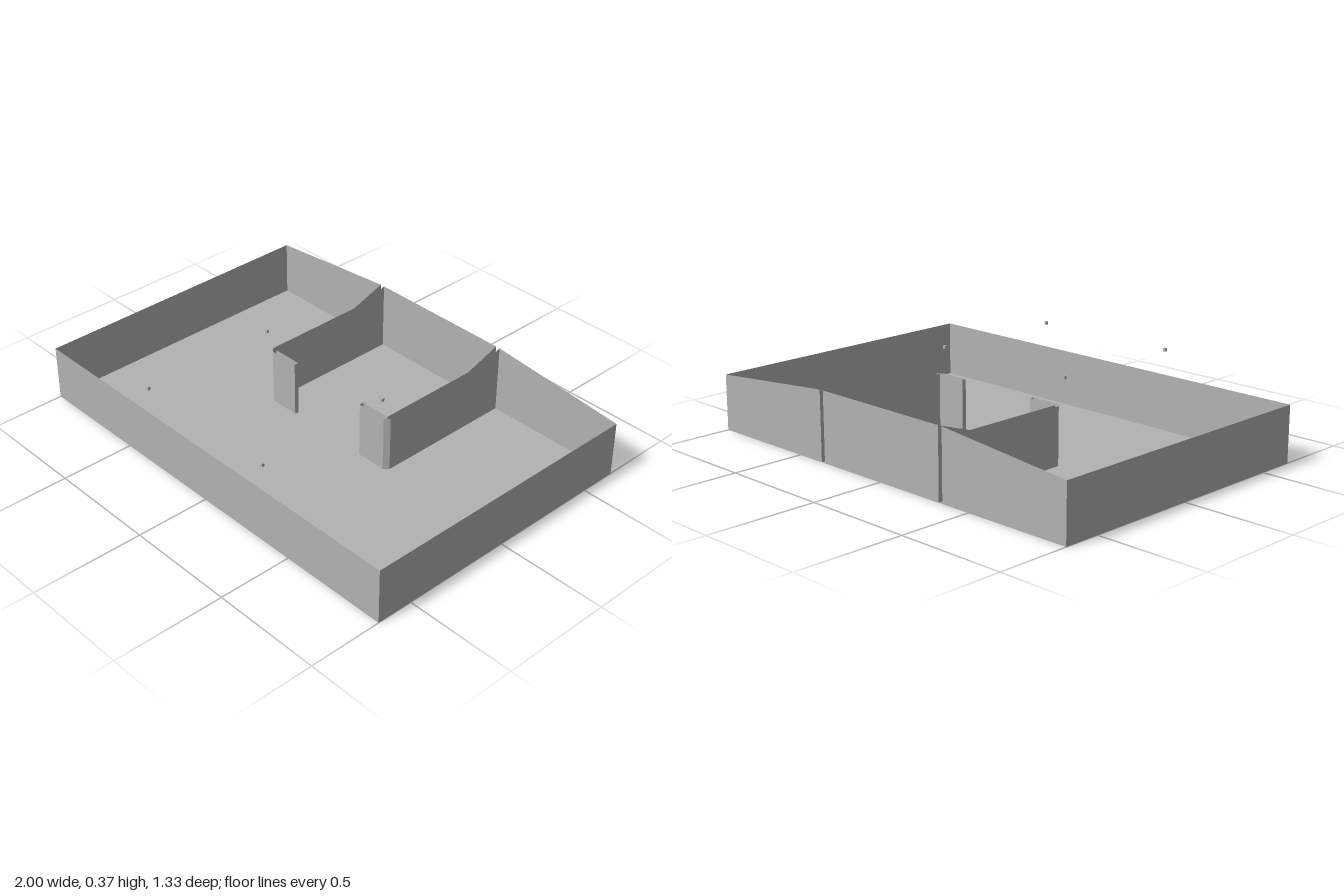
import * as THREE from 'three';

const BACK = -0.667, FRONT = 0.667, RIM = 0.25, LOW = 0.254, HIGH = 0.31;

// Upright sheet wall following plan points [x, z, topHeight] from the floor up
function sheetWall(points, name, material) {
  const pos = [];
  for (let i = 0; i < points.length - 1; i++) {
    const [x0, z0, h0] = points[i], [x1, z1, h1] = points[i + 1];
    pos.push(x0, 0, z0, x1, 0, z1, x1, h1, z1);
    pos.push(x0, 0, z0, x1, h1, z1, x0, h0, z0);
  }
  const geo = new THREE.BufferGeometry();
  geo.setAttribute('position', new THREE.Float32BufferAttribute(pos, 3));
  geo.computeVertexNormals();
  const mesh = new THREE.Mesh(geo, material);
  mesh.name = name;
  return mesh;
}

export function createModel() {
  const group = new THREE.Group();
  group.name = 'walledTray';
  const grey = new THREE.MeshStandardMaterial({ color: 0xb2b2b2, side: THREE.DoubleSide });
  grey.name = 'plain grey';

  // Floor sheet
  const floor = new THREE.Mesh(new THREE.PlaneGeometry(2, FRONT - BACK).rotateX(-Math.PI / 2), grey);
  floor.name = 'floor';
  group.add(floor);

  // Front and side walls
  group.add(sheetWall([[-1, BACK, RIM], [-1, FRONT, RIM], [1, FRONT, RIM], [1, BACK, RIM]], 'outerWall', grey));

  // Raised middle of the back wall
  group.add(sheetWall([[-0.34, BACK, HIGH], [0.34, BACK, HIGH]], 'backWallCentre', grey));

  for (const s of [-1, 1]) {
    const side = s > 0 ? 'left' : 'right';

    // Sloping part of the back wall, out to the corner
    group.add(sheetWall([[s, BACK, RIM], [s * 0.36, BACK, HIGH]], side + 'BackWall', grey));

    // Hollow partition with an inward return, open at the top and back
    group.add(sheetWall([
      [s * 0.36, BACK, HIGH], [s * 0.36, -0.5, LOW], [s * 0.36, -0.02, LOW],
      [s * 0.34, 0, LOW], [s * 0.2, 0, LOW], [s * 0.2, -0.02, LOW],
      [s * 0.34, -0.02, LOW], [s * 0.34, -0.5, LOW], [s * 0.34, BACK, HIGH],
    ], side + 'Partition', grey));

    // Small floating marker blocks
    for (const z of [0.022, 0.658]) {
      const marker = new THREE.Mesh(new THREE.BoxGeometry(0.012, 0.014, 0.012), grey);
      marker.name = side + (z > 0.3 ? 'FrontMarker' : 'MiddleMarker');
      marker.position.set(s * 0.35, 0.364, z);
      group.add(marker);
    }
  }
  return group;
}
